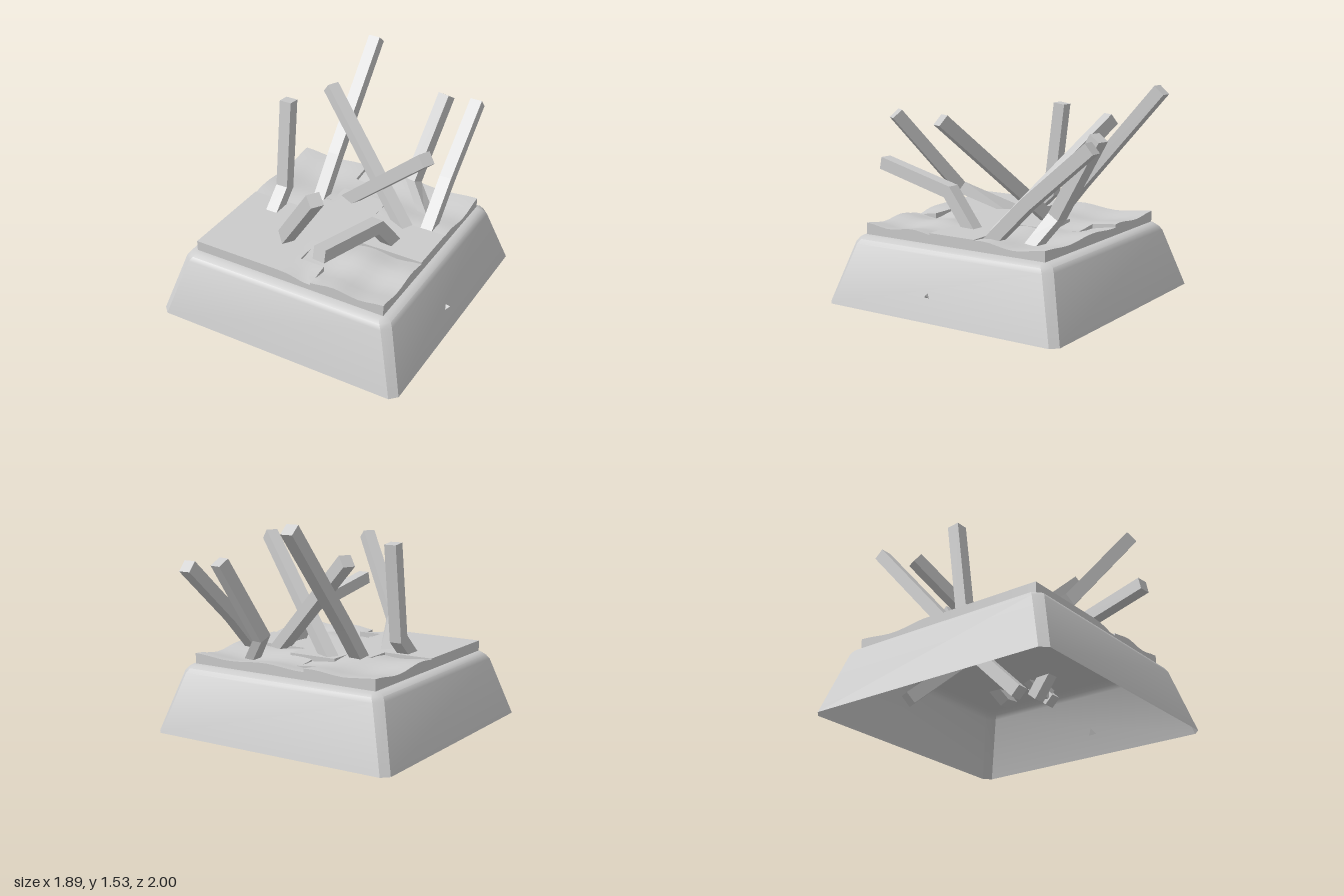
import * as THREE from 'three';
import { toCreasedNormals } from 'three/addons/utils/BufferGeometryUtils.js';

const V = (x, y, z) => new THREE.Vector3(x, y, z);
const CZ = 0.055; // depth centre of the plinth

function fromPoints(points, crease) {
  const g = new THREE.BufferGeometry().setFromPoints(points);
  g.computeVertexNormals();
  return crease ? toCreasedNormals(g, crease) : g;
}

// Skin a list of equal-length rings (counter-clockwise seen from the end)
function loft(rings, capStart, capEnd, crease) {
  const p = [];
  const n = rings[0].length;
  for (let k = 0; k + 1 < rings.length; k++) {
    for (let i = 0; i < n; i++) {
      const j = (i + 1) % n;
      const [a, b, c, d] = [rings[k][i], rings[k][j], rings[k + 1][j], rings[k + 1][i]];
      p.push(a, b, c, a, c, d);
    }
  }
  const first = rings[0];
  const last = rings[rings.length - 1];
  for (let i = 1; i + 1 < n; i++) {
    if (capStart) p.push(first[0], first[i + 1], first[i]);
    if (capEnd) p.push(last[0], last[i], last[i + 1]);
  }
  return fromPoints(p, crease);
}

// Square beam with mitred bends along a path from tip to foot
function beamGeometry(path, width = 0.09) {
  const flat = path[1].clone().sub(path[0]).setY(0).normalize();
  const side = V(flat.z, 0, -flat.x);
  const h = width / 2;
  const rings = path.map((pt, i) => {
    const before = i > 0 ? pt.clone().sub(path[i - 1]).normalize() : null;
    const after = i + 1 < path.length ? path[i + 1].clone().sub(pt).normalize() : null;
    const t = (before || after).clone().add(after || before).normalize();
    const v = t.clone().cross(side).normalize();
    const miter = 1 / Math.max(0.6, t.dot(before || after));
    return [[1, 1], [-1, 1], [-1, -1], [1, -1]].map(([a, b]) =>
      pt.clone().addScaledVector(side, a * h).addScaledVector(v, b * h * miter));
  });
  return loft(rings, true, true);
}

// Octagonal ring: a square with clipped corners
function clippedSquare(y, half, clip) {
  const q = half - clip;
  return [[half, -q], [half, q], [q, half], [-q, half], [-half, q], [-half, -q], [-q, -half], [q, -half]]
    .map(([z, x]) => V(x, y, z + CZ));
}

// Broken ground slab: 8 x 8 cells, each belonging to one of four pieces
const PIECES = ['33322222', '33332222', '33300222', '33000000', '00000000', '00000111', '00001111', '00000111'];
const CELL = 0.184;
const FLOOR = 0.48;

function slabHeight(piece, x, z) {
  const wave = (v, peak, length) => Math.cos((2 * Math.PI * (v - peak)) / length);
  if (piece === '1') return 0.538 + 0.012 * wave(x, 0.74, 0.38) + 0.012 * wave(z, 0.79, 0.4);
  if (piece === '2') return 0.528 + 0.016 * wave(z, -0.69, 0.5) + 0.01 * wave(x, 0.74, 0.6);
  if (piece === '3') return 0.536 + 0.014 * wave(z, -0.69, 0.6) + 0.01 * wave(x, -0.74, 0.5);
  return 0.555 - 0.035 * Math.exp(-((x - 0.16) ** 2 + (z - 0.79) ** 2) / 0.012);
}

function slabGeometry() {
  const p = [];
  const half = 4 * CELL;
  const SUB = 3;
  const step = CELL / SUB;
  const pieceAt = (i, j) => (PIECES[j] ? PIECES[j][i] : undefined);
  const quad = (a, b, c, d) => p.push(a, b, c, a, c, d);
  for (let j = 0; j < 8; j++) {
    for (let i = 0; i < 8; i++) {
      const piece = pieceAt(i, j);
      const x0 = -half + i * CELL;
      const z0 = CZ - half + j * CELL;
      const top = (a, b) => {
        const x = x0 + a * step;
        const z = z0 + b * step;
        return V(x, slabHeight(piece, x, z), z);
      };
      const wall = (a, b) => quad(a.clone().setY(FLOOR), b.clone().setY(FLOOR), b, a);
      for (let a = 0; a < SUB; a++) {
        for (let b = 0; b < SUB; b++) {
          quad(top(a, b), top(a, b + 1), top(a + 1, b + 1), top(a + 1, b));
        }
        // Walls where the piece ends
        if (pieceAt(i, j + 1) !== piece) wall(top(a, SUB), top(a + 1, SUB));
        if (pieceAt(i, j - 1) !== piece) wall(top(a + 1, 0), top(a, 0));
        if (pieceAt(i + 1, j) !== piece) wall(top(SUB, a + 1), top(SUB, a));
        if (pieceAt(i - 1, j) !== piece) wall(top(0, a), top(0, a + 1));
      }
    }
  }
  return fromPoints(p, 0.5);
}

export function createModel() {
  const model = new THREE.Group();
  model.name = 'beamsOnPlinth';
  const material = new THREE.MeshStandardMaterial({ color: 0xcccccc, side: THREE.DoubleSide });
  const faceted = new THREE.MeshStandardMaterial({ color: 0xcccccc, flatShading: true });
  const add = (name, geometry, mat) => {
    const mesh = new THREE.Mesh(geometry, mat);
    mesh.name = name;
    model.add(mesh);
    return mesh;
  };

  // Hollow tapered plinth, open below
  const profile = [[0, 0.945, 0.05], [0.425, 0.815, 0.055], [0.455, 0.795, 0.055], [0.473, 0.768, 0.045], [0.48, 0.735, 0.03]];
  add('plinth', loft(profile.map((r) => clippedSquare(...r)), false, true, 0.6), material);

  add('brokenGround', slabGeometry(), material);

  // Beams: points from tip to ground, then how far the foot runs on below
  const beams = [
    [[[-0.28, 1.5, -0.965], [-0.28, 0.8, -0.35], [-0.28, 0.53, -0.13], [-0.28, 0.32, 0.08]], 0.35],
    [[[0.585, 1.205, -0.925], [0.585, 0.8, -0.45], [0.585, 0.53, -0.18]], 0.25],
    [[[0.37, 1.24, -0.85], [0.295, 0.68, -0.5], [0.41, 0.54, -0.43]], 0.2],
    [[[-0.49, 1.34, -0.055], [-0.49, 0.67, 0.03], [-0.49, 0.54, 0.17]], 0.2],
    [[[0.35, 0.925, 0.94], [0.41, 0.785, 0.3], [0.43, 0.54, 0.1]], 0.25],
    [[[-0.41, 1.265, -0.51], [0.4, 0.55, -0.12]], 0.25],
    [[[0.7, 1.32, 0.16], [-0.1, 0.53, -0.24]], 0.6],
    [[[0.29, 1.28, 0.88], [-0.11, 0.71, 0.61], [-0.28, 0.54, 0.22]], 0.25],
  ];
  beams.forEach(([points, run], i) => {
    const path = points.map((q) => V(...q));
    const foot = path[path.length - 1];
    const dir = foot.clone().sub(path[path.length - 2]).normalize();
    path.push(foot.clone().addScaledVector(dir, run));
    add(`beam${i + 1}`, beamGeometry(path), faceted);
  });

  // Small pointed chip on the left face of the plinth
  const chip = add('chip', new THREE.ConeGeometry(0.033, 0.05, 3), faceted);
  chip.position.set(0.9, 0.17, 0.14);
  chip.rotation.set(0.4, 0.3, -1.3);

  return model;
}
